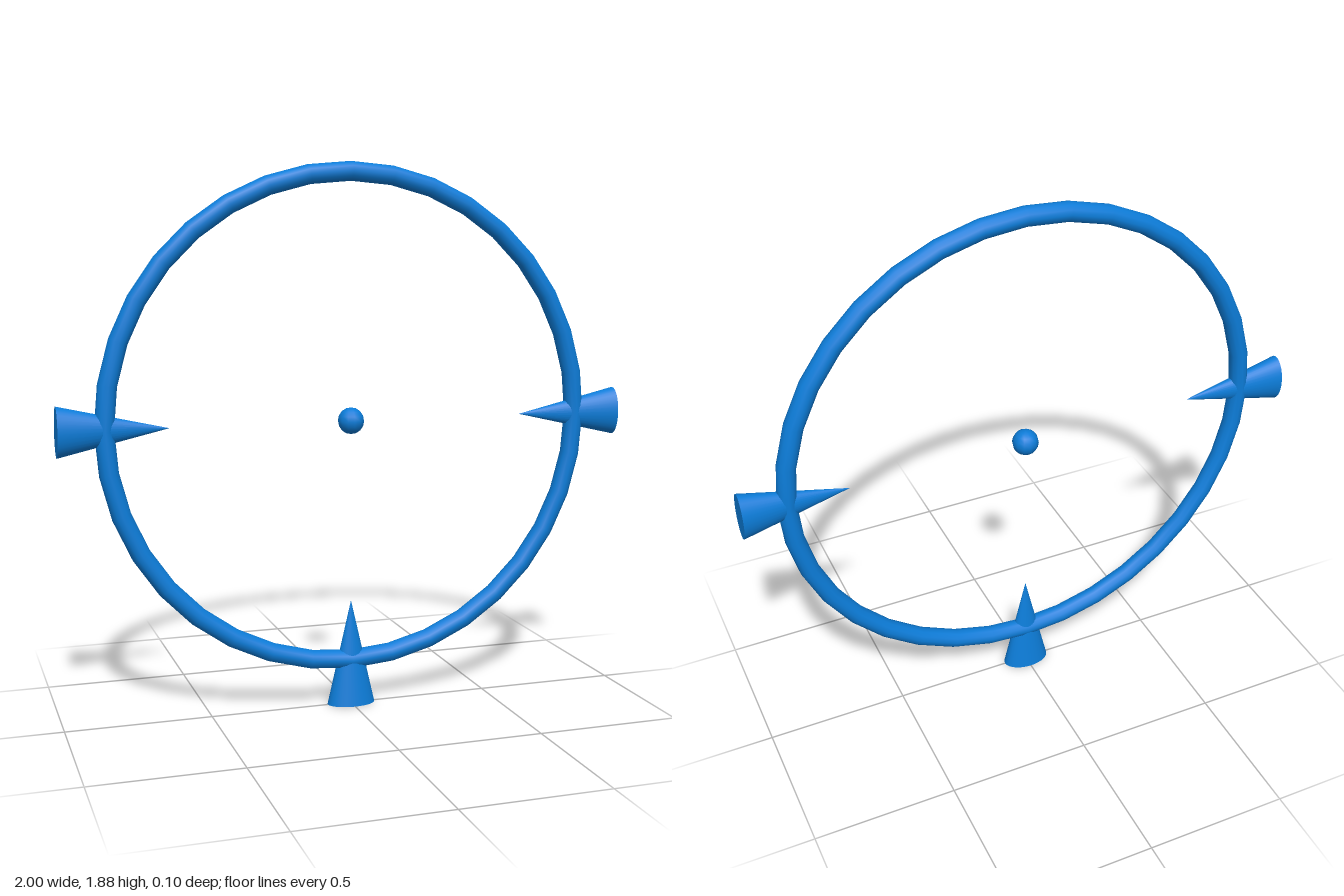
import * as THREE from 'three';

export function createModel() {
  const group = new THREE.Group();
  const blue = new THREE.MeshStandardMaterial({ color: 0x0c7cd8 });
  blue.name = 'blue';
  const centreY = 1.003;

  function add(name, geometry, y = centreY) {
    const mesh = new THREE.Mesh(geometry, blue);
    mesh.name = name;
    mesh.position.y = y;
    group.add(mesh);
    return mesh;
  }

  // Thin hoop and the small bead at its centre
  add('ring', new THREE.TorusGeometry(0.845, 0.033, 12, 36));
  add('centreDot', new THREE.SphereGeometry(0.046, 12, 8));

  // Flattened spikes pointing inward through the hoop
  const length = 0.37;
  const spike = new THREE.ConeGeometry(0.085, length, 32);
  spike.scale(1, 1, 0.61);
  add('bottomSpike', spike, length / 2);
  for (const side of [1, -1]) {
    const mesh = add(side > 0 ? 'leftSpike' : 'rightSpike', spike);
    mesh.position.x = side * (1 - length / 2);
    mesh.rotation.z = side * Math.PI / 2;
  }
  return group;
}
